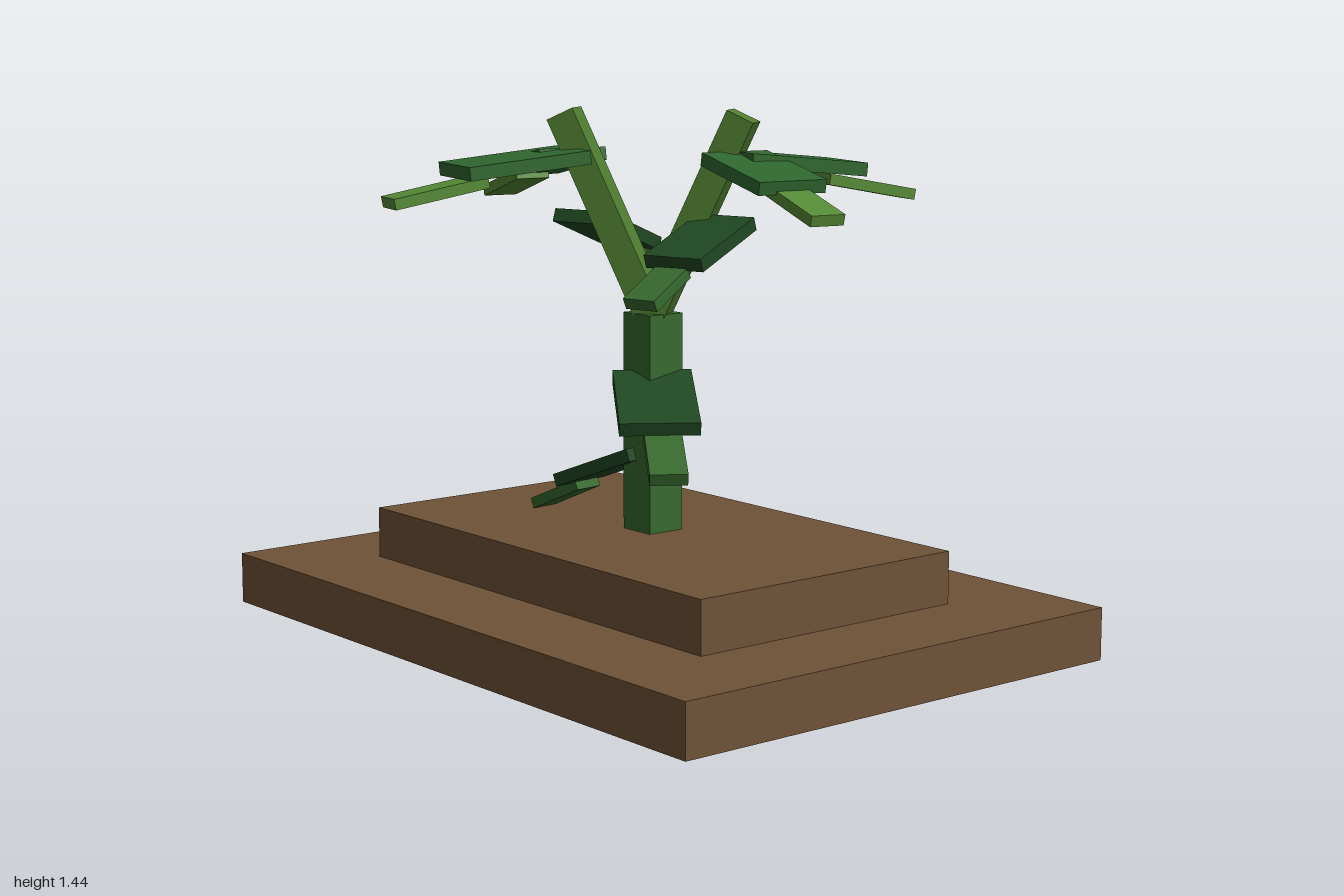
import * as THREE from 'three';

const mat = (name, color) => {
  const m = new THREE.MeshStandardMaterial({ color });
  m.name = name;
  return m;
};

export function createModel() {
  const soil = mat('soil brown', 0x6f5238);
  const stemGreen = mat('stem green', 0x37692f);
  const branchGreen = mat('branch olive', 0x4f7d30);
  const leafGreen = mat('leaf green', 0x2f672f);
  const darkGreen = mat('dark leaf green', 0x204822);
  const tipGreen = mat('bright tip green', 0x568b36);

  const model = new THREE.Group();
  model.name = 'plant';

  const box = (name, material, w, h, d, y) => {
    const mesh = new THREE.Mesh(new THREE.BoxGeometry(w, h, d), material);
    mesh.name = name;
    mesh.position.y = y + h / 2;
    model.add(mesh);
  };

  // Flat bar running between two points, without roll
  const plank = (parent, name, material, from, to, width, thick) => {
    const a = new THREE.Vector3(...from), b = new THREE.Vector3(...to);
    const mesh = new THREE.Mesh(new THREE.BoxGeometry(width, thick, a.distanceTo(b)), material);
    mesh.name = name;
    mesh.position.copy(a).lerp(b, 0.5);
    mesh.lookAt(b);
    parent.add(mesh);
  };

  // Stepped soil mound and stem
  box('lowerSoil', soil, 2, 0.143, 1.43, 0);
  box('upperSoil', soil, 1.43, 0.143, 0.858, 0.143);
  box('stem', stemGreen, 0.114, 0.6, 0.114, 0.286);

  // Two opposite crowns, each a leaning branch with three leaves
  for (const side of [0, 1]) {
    const crown = new THREE.Group();
    crown.name = side ? 'rightCrown' : 'leftCrown';
    crown.rotation.y = side * Math.PI;
    plank(crown, 'branch', branchGreen, [0, 0.88, 0], [0.207, 1.422, -0.143], 0.08, 0.08);
    plank(crown, 'backLeaf', leafGreen, [0.18, 1.31, -0.13], [0.265, 1.275, -0.465], 0.235, 0.037);
    plank(crown, 'backLeafTip', tipGreen, [0.245, 1.247, -0.39], [0.312, 1.197, -0.645], 0.108, 0.03);
    plank(crown, 'sideLeaf', leafGreen, [0.19, 1.31, -0.125], [0.482, 1.252, -0.073], 0.203, 0.036);
    plank(crown, 'sideLeafTip', tipGreen, [0.43, 1.243, -0.085], [0.645, 1.18, -0.045], 0.1, 0.03);
    plank(crown, 'innerLeaf', darkGreen, [0.185, 1.14, -0.105], [0.25, 1.05, 0.135], 0.182, 0.037);
    plank(crown, 'innerLeafTip', stemGreen, [0.235, 1.027, 0.12], [0.27, 0.953, 0.262], 0.1, 0.032);
    model.add(crown);
  }

  // Large drooping leaf at the front left of the stem
  plank(model, 'upperStemLeaf', darkGreen, [0.005, 0.713, 0.008], [0.255, 0.617, 0.182], 0.215, 0.037);
  plank(model, 'upperStemLeafTip', stemGreen, [0.235, 0.593, 0.158], [0.398, 0.515, 0.27], 0.1, 0.033);

  // Low leaf reaching right, nearly touching the soil
  plank(model, 'lowerStemLeaf', darkGreen, [-0.017, 0.5, -0.008], [-0.293, 0.394, 0.034], 0.19, 0.036);
  plank(model, 'lowerStemLeafTip', stemGreen, [-0.26, 0.378, 0.026], [-0.438, 0.3, 0.048], 0.09, 0.03);

  return model;
}
